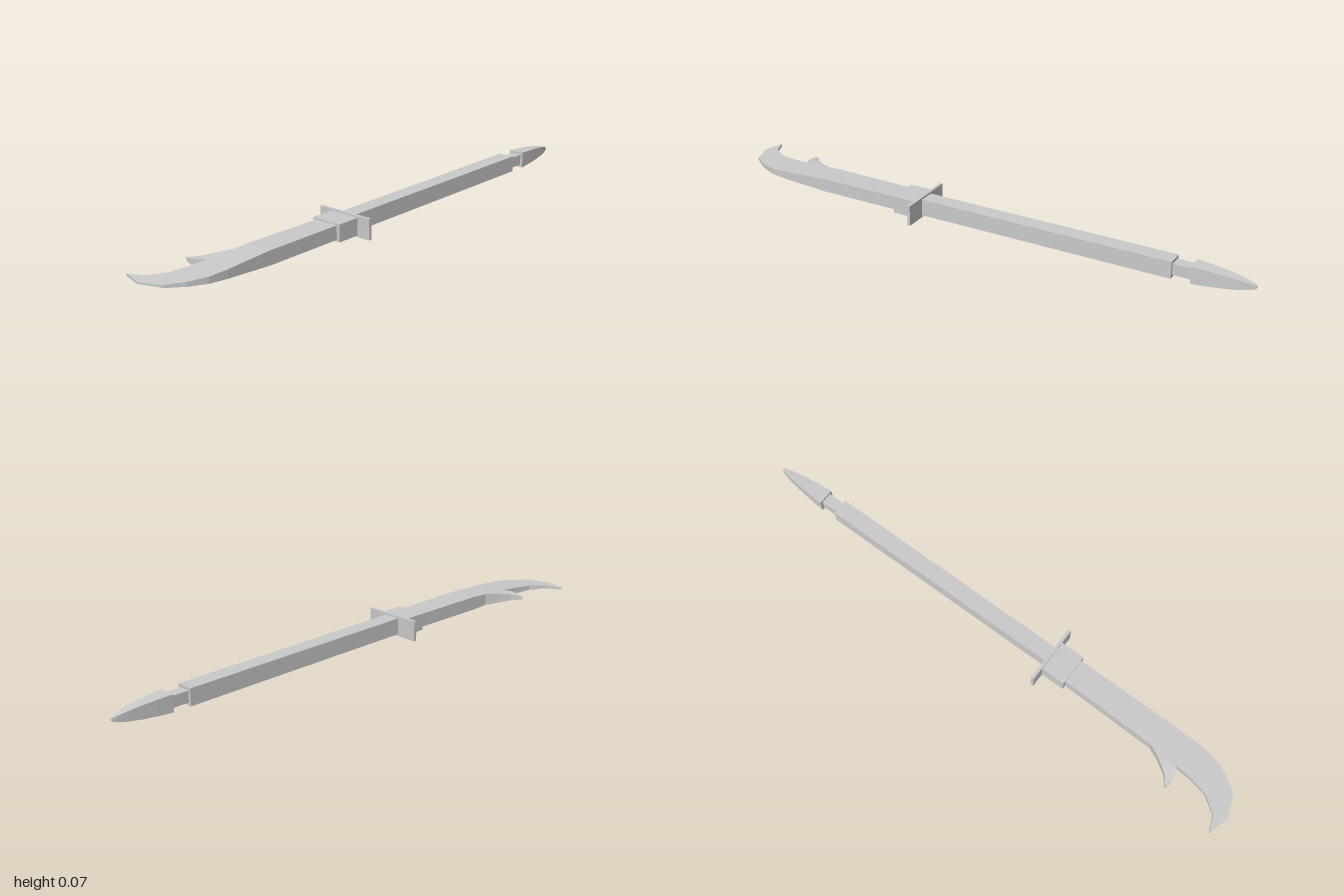
import * as THREE from 'three';

const CX = 0.035, CY = 0.037; // axis of the weapon
const material = new THREE.MeshStandardMaterial({ color: 0xcccccc, flatShading: true });

function add(group, name, geometry) {
  const mesh = new THREE.Mesh(geometry, material);
  mesh.name = name;
  group.add(mesh);
  return mesh;
}

// Box centred on the axis, spanning z0..z1
function block(group, name, w, h, z0, z1) {
  add(group, name, new THREE.BoxGeometry(w, h, z1 - z0)).position.set(CX, CY, (z0 + z1) / 2);
}

// Outline of [x, z] points given a thickness that varies over the plan
function slab(outline, halfAt) {
  const shape = new THREE.Shape(outline.map(([x, z]) => new THREE.Vector2(x, -z)));
  const geo = new THREE.ExtrudeGeometry(shape, { depth: 1, bevelEnabled: false });
  geo.rotateX(-Math.PI / 2);
  const p = geo.attributes.position;
  for (let i = 0; i < p.count; i++) {
    const side = p.getY(i) > 0.5 ? 1 : -1;
    p.setY(i, CY + side * halfAt(p.getX(i), p.getZ(i)));
  }
  geo.computeVertexNormals();
  return geo;
}

// Square section tapering along z through [z, halfWidth, halfHeight] stations
function taper(stations) {
  const n = stations.length - 1;
  const geo = new THREE.BoxGeometry(2, 2, n, 1, 1, n).toNonIndexed();
  const p = geo.attributes.position;
  for (let i = 0; i < p.count; i++) {
    const [z, hw, hh] = stations[Math.round(p.getZ(i) + n / 2)];
    p.setXYZ(i, CX + p.getX(i) * hw, CY + p.getY(i) * hh, z);
  }
  geo.computeVertexNormals();
  return geo;
}

export function createModel() {
  const group = new THREE.Group();
  group.name = 'polearm';

  // Handle, guard and collar
  block(group, 'shaft', 0.06, 0.06, -0.73, 0.2);
  block(group, 'neck', 0.04, 0.04, -0.8, -0.73);
  block(group, 'guard', 0.218, 0.074, 0.2, 0.211);
  block(group, 'collar', 0.117, 0.062, 0.205, 0.3);

  // Pointed butt, from tip to base
  add(group, 'buttSpike', taper([
    [-1, 0.004, 0.005], [-0.985, 0.009, 0.01], [-0.95, 0.015, 0.017],
    [-0.9, 0.021, 0.023], [-0.85, 0.026, 0.027], [-0.795, 0.03, 0.03],
  ]));

  // Straight lower blade
  add(group, 'bladeBase', slab(
    [[-0.011, 0.29], [0.081, 0.29], [0.081, 0.6], [-0.018, 0.6]], () => 0.025));

  // Hooked blade head with barb, thinning to the point
  const head = [
    [-0.018, 0.6], [0.081, 0.6], [0.081, 0.78], [0.075, 0.85], [0.051, 0.912],
    [0.01, 0.97], [-0.07, 1], [-0.145, 0.978], [-0.087, 0.953], [-0.047, 0.897],
    [-0.032, 0.83], [-0.026, 0.765], [-0.05, 0.778], [-0.08, 0.783],
    [-0.108, 0.776], [-0.072, 0.75], [-0.042, 0.705], [-0.02, 0.66],
  ];
  add(group, 'bladeHead', slab(head, (x, z) => {
    const half = THREE.MathUtils.mapLinear(z, 0.6, 1, 0.025, 0.003);
    const barb = z < 0.8 ? THREE.MathUtils.clamp((-0.04 - x) / 0.068, 0, 1) : 0;
    return half * (1 - 0.6 * barb);
  }));

  return group;
}
